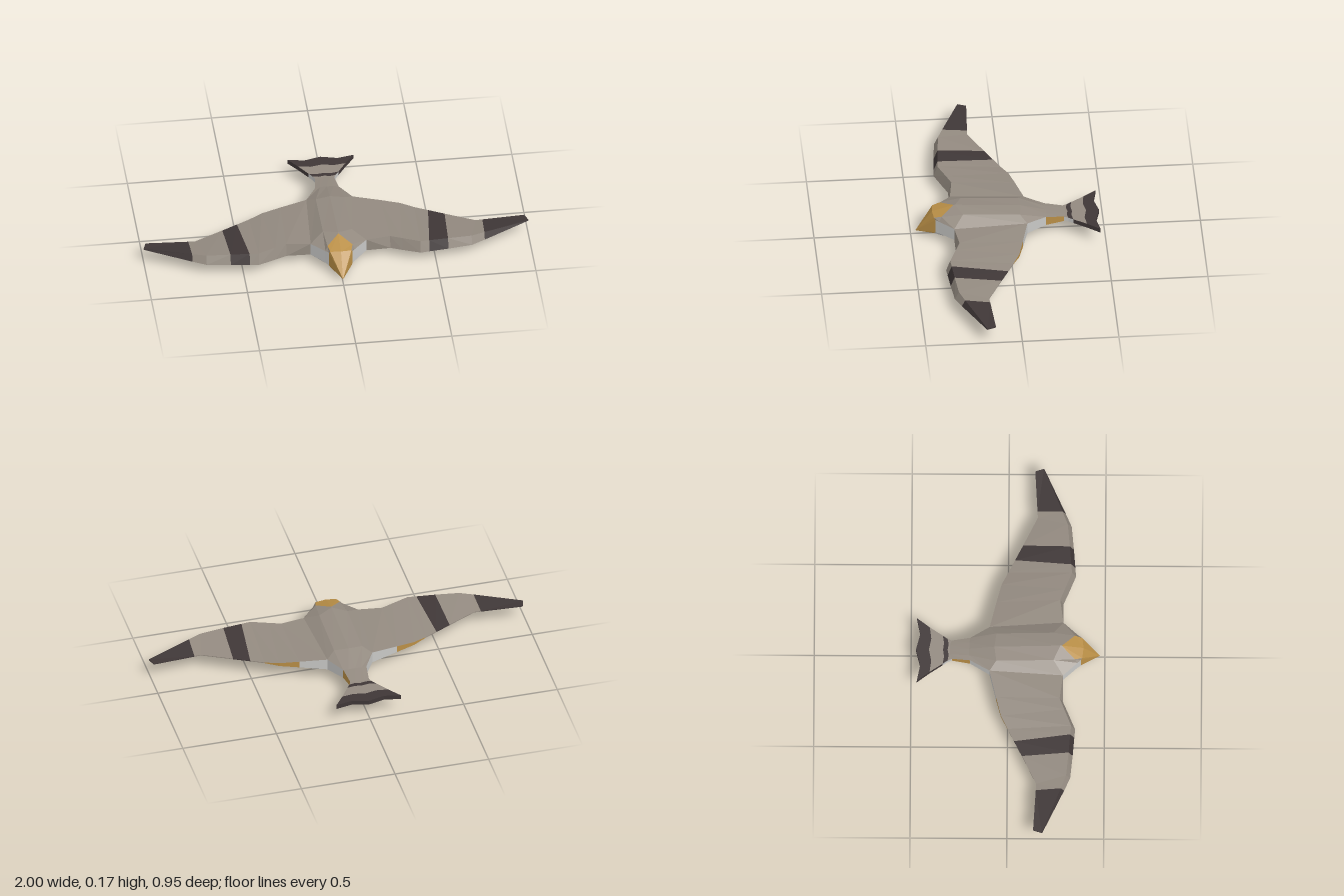
import * as THREE from 'three';

const mat = (name, color) => {
  const m = new THREE.MeshStandardMaterial({ color });
  m.name = name;
  return m;
};

const MID = 0.085; // height of the bird's horizontal plane of symmetry

// Collects flat triangles by colour, then makes one mesh per colour
class Part {
  constructor(name, mats, flip = false) {
    this.name = name;
    this.mats = mats;
    this.flip = flip;
    this.buckets = {};
  }
  tri(color, a, b, c) {
    const list = (this.buckets[color] ??= []);
    const pts = this.flip ? [a, c, b] : [a, b, c];
    for (const p of pts) list.push(this.flip ? -p[0] : p[0], p[1], p[2]);
  }
  quad(color, a, b, c, d) {
    this.tri(color, a, b, c);
    this.tri(color, a, c, d);
  }
  loft(rings, colorOf) {
    for (let i = 0; i < rings.length - 1; i++) {
      const r = rings[i], s = rings[i + 1], n = r.length;
      for (let k = 0; k < n; k++) {
        const j = (k + 1) % n;
        this.quad(colorOf(i, k), r[k], r[j], s[j], s[k]);
      }
    }
  }
  build() {
    const group = new THREE.Group();
    group.name = this.name;
    for (const [color, list] of Object.entries(this.buckets)) {
      const geo = new THREE.BufferGeometry();
      geo.setAttribute('position', new THREE.Float32BufferAttribute(list, 3));
      geo.computeVertexNormals();
      const mesh = new THREE.Mesh(geo, this.mats[color]);
      mesh.name = `${this.name} ${color}`;
      group.add(mesh);
    }
    return group;
  }
}

// Body: each station gives the ridge, shoulder and side points of one quarter
function makeBody(mats) {
  const stations = [
    [[0, 0.136, 0.39], [0.055, 0.134, 0.384], [0.062, 0.124, 0.376]],
    [[0, 0.169, 0.278], [0.065, 0.143, 0.345], [0.077, 0.122, 0.359]],
    [[0, 0.17, 0.27], [0.075, 0.158, 0.235], [0.145, 0.119, 0.285]],
    [[0, 0.148, -0.07], [0.075, 0.142, -0.06], [0.12, 0.116, -0.095]],
    [[0, 0.113, -0.2], [0.035, 0.112, -0.2], [0.062, 0.11, -0.195]],
    [[0, 0.099, -0.3], [0.025, 0.099, -0.3], [0.05, 0.099, -0.29]],
  ];
  const under = ([x, y, z]) => [x, 2 * MID - y, z];
  const mirror = ([x, y, z]) => [-x, y, z];
  const rings = stations.map(([t, c, s]) => {
    const half = [c, s, under(s), under(c)];
    return [t, ...half, under(t), ...half.map(mirror).reverse()];
  });
  const body = new Part('body', mats);
  body.loft(rings, (i, k) => {
    if (k === 2 || k === 7) return i === 4 ? 'gold' : 'pale'; // flanks
    if (k > 2 && k < 7) return 'pale'; // belly
    return i === 0 && (k === 0 || k === 9) ? 'gold' : 'taupe'; // forehead patch
  });

  // Hooked beak drawn from the front ring to a low tip
  const beak = new Part('beak', mats);
  const tip = [0, 0.02, 0.475], front = rings[0];
  front.forEach((a, k) => beak.tri('gold', front[(k + 1) % front.length], a, tip));
  return [body.build(), beak.build()];
}

// Wing: stations from root to tip, thick in front and sharp behind
function makeWing(name, mats, flip) {
  // [leading x, z, half thickness, forward lean of lower edge, trailing x, z, half thickness]
  const stations = [
    [0.145, 0.285, 0.034, 0, 0.12, -0.095, 0.031],
    [0.27, 0.268, 0.032, 0.018, 0.26, -0.061, 0.018],
    [0.33, 0.292, 0.031, 0.02, 0.36, -0.035, 0.009],
    [0.42, 0.328, 0.029, 0.021, 0.43, 0.0, 0.002],
    [0.467, 0.324, 0.028, 0.021, 0.497, 0.034, 0.002],
    [0.566, 0.316, 0.026, 0.021, 0.578, 0.075, 0.002],
    [0.69, 0.304, 0.022, 0.021, 0.73, 0.15, 0.002],
    [0.76, 0.277, 0.018, 0.017, 0.765, 0.148, 0.002],
    [1.0, 0.18, 0.003, 0.002, 0.985, 0.135, 0.002],
  ];
  const rings = stations.map(([lx, lz, lh, lean, tx, tz, th], i) => {
    const y = MID + (i ? 0.002 : 0);
    return [[tx, y + th, tz], [lx, y + lh, lz], [lx, y - lh, lz + lean], [tx, y - th, tz]];
  });
  const rearEdge = ['pale', 'gold', 'gold'];
  const wing = new Part(name, mats, flip);
  wing.loft(rings, (i, k) => {
    const banded = i === 4 || i === 7; // band and wing tip
    if (k === 2) return banded ? 'underDark' : 'pale';
    if (banded) return 'dark';
    return (k === 3 && rearEdge[i]) || 'taupe';
  });
  wing.quad('dark', ...rings.at(-1));
  return wing.build();
}

// Tail: fan of bands with a scalloped rear edge
function makeTail(mats) {
  // [half width, z at centre, z at half way, z at corner]
  const stations = [
    [0.05, -0.29, -0.29, -0.29],
    [0.06, -0.312, -0.306, -0.312],
    [0.077, -0.335, -0.33, -0.337],
    [0.122, -0.408, -0.396, -0.404],
    [0.172, -0.475, -0.453, -0.47],
  ];
  const rows = (y) => stations.map(([w, zc, zh, ze]) =>
    [[-w, y, ze], [-w / 2, y, zh], [0, y, zc], [w / 2, y, zh], [w, y, ze]]);
  const top = rows(0.098), bottom = rows(0.074);
  const rings = top.map((r, i) => [...r, ...bottom[i].slice().reverse()]);
  const bands = {
    top: ['taupe', 'dark', 'taupe', 'dark'],
    side: ['pale', 'pale', 'dark', 'dark'],
    under: ['pale', 'underDark', 'pale', 'underDark'],
  };
  const tail = new Part('tail', mats);
  tail.loft(rings, (i, k) => {
    if (k === 4 || k === 9) return bands.side[i];
    return (k < 4 ? bands.top : bands.under)[i];
  });
  const t = top.at(-1), b = bottom.at(-1);
  for (let k = 0; k < 4; k++) tail.quad('dark', t[k], t[k + 1], b[k + 1], b[k]);
  return tail.build();
}

export function createModel() {
  const mats = {
    taupe: mat('taupe feathers', 0x938a80),
    dark: mat('dark bands', 0x3f3737),
    pale: mat('pale grey underside', 0xc8c8c6),
    underDark: mat('grey underside bands', 0x5f5f5d),
    gold: mat('golden beak', 0xba8f46),
  };
  const bird = new THREE.Group();
  bird.name = 'bird';
  bird.add(
    ...makeBody(mats),
    makeWing('left wing', mats, false),
    makeWing('right wing', mats, true),
    makeTail(mats),
  );
  return bird;
}
